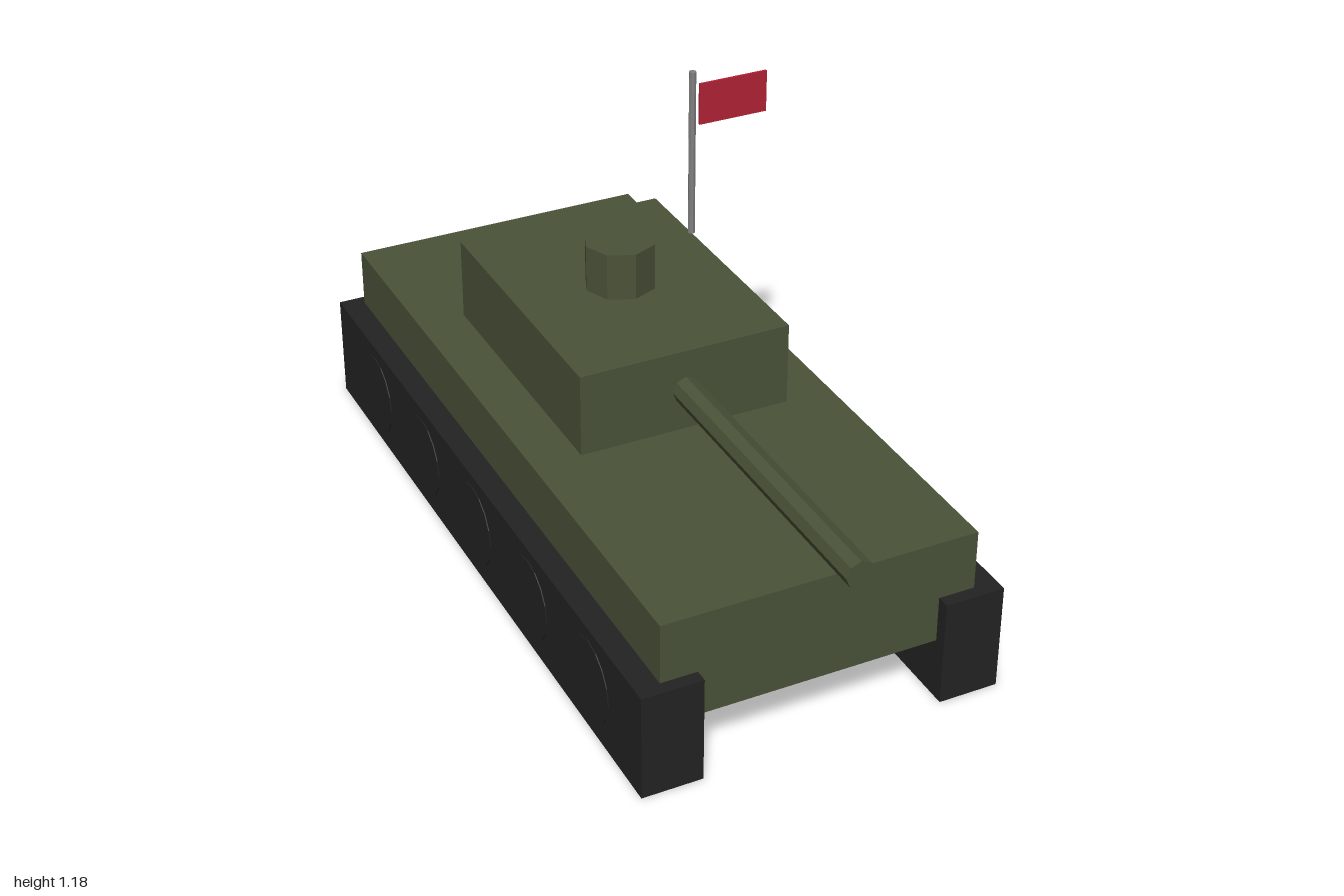
import * as THREE from 'three';

const paint = (name, color) => {
  const m = new THREE.MeshStandardMaterial({ color, flatShading: true });
  m.name = name;
  return m;
};

export function createModel() {
  const green = paint('olive green', 0x4a5238);
  const black = paint('track black', 0x232323);
  const grey = paint('pole grey', 0x808080);
  const red = paint('flag red', 0xb22234);

  const model = new THREE.Group();
  model.name = 'tank';

  const add = (name, geometry, material, x, y, z) => {
    const mesh = new THREE.Mesh(geometry, material);
    mesh.name = name;
    mesh.position.set(x, y, z);
    model.add(mesh);
    return mesh;
  };
  // Box from its lower and upper corners
  const box = (name, material, [x0, y0, z0], [x1, y1, z1]) =>
    add(name, new THREE.BoxGeometry(x1 - x0, y1 - y0, z1 - z0), material,
      (x0 + x1) / 2, (y0 + y1) / 2, (z0 + z1) / 2);

  // Body
  box('hull', green, [-0.394, 0.155, -0.97], [0.394, 0.425, 0.848]);
  box('turret', green, [-0.272, 0.425, -0.545], [0.272, 0.637, 0.18]);
  add('hatch', new THREE.CylinderGeometry(0.09, 0.09, 0.121, 8), green, 0, 0.6975, -0.182);

  // Gun, pointing forwards
  const gun = new THREE.CylinderGeometry(0.035, 0.035, 0.85, 8).rotateX(Math.PI / 2);
  add('gunBarrel', gun, green, 0, 0.532, 0.575);

  // Tracks, with wheel faces standing just proud on both sides
  const wheel = new THREE.CylinderGeometry(0.106, 0.106, 0.156, 16).rotateZ(Math.PI / 2);
  for (const [side, s] of [['left', 1], ['right', -1]]) {
    const x = s * 0.378;
    add(side + 'Track', new THREE.BoxGeometry(0.151, 0.273, 1.88), black, x, 0.1365, -0.06);
    for (let i = 0; i < 5; i++) {
      add(side + 'Wheel' + (i + 1), wheel, black, x, 0.1365, -0.73 + i * 0.335);
    }
  }

  // Flag and pole
  add('flagPole', new THREE.CylinderGeometry(0.009, 0.009, 0.427, 8), grey, 0.178, 0.9635, -0.151);
  box('flag', red, [0.196, 1.036, -0.154], [0.375, 1.142, -0.148]);

  return model;
}
